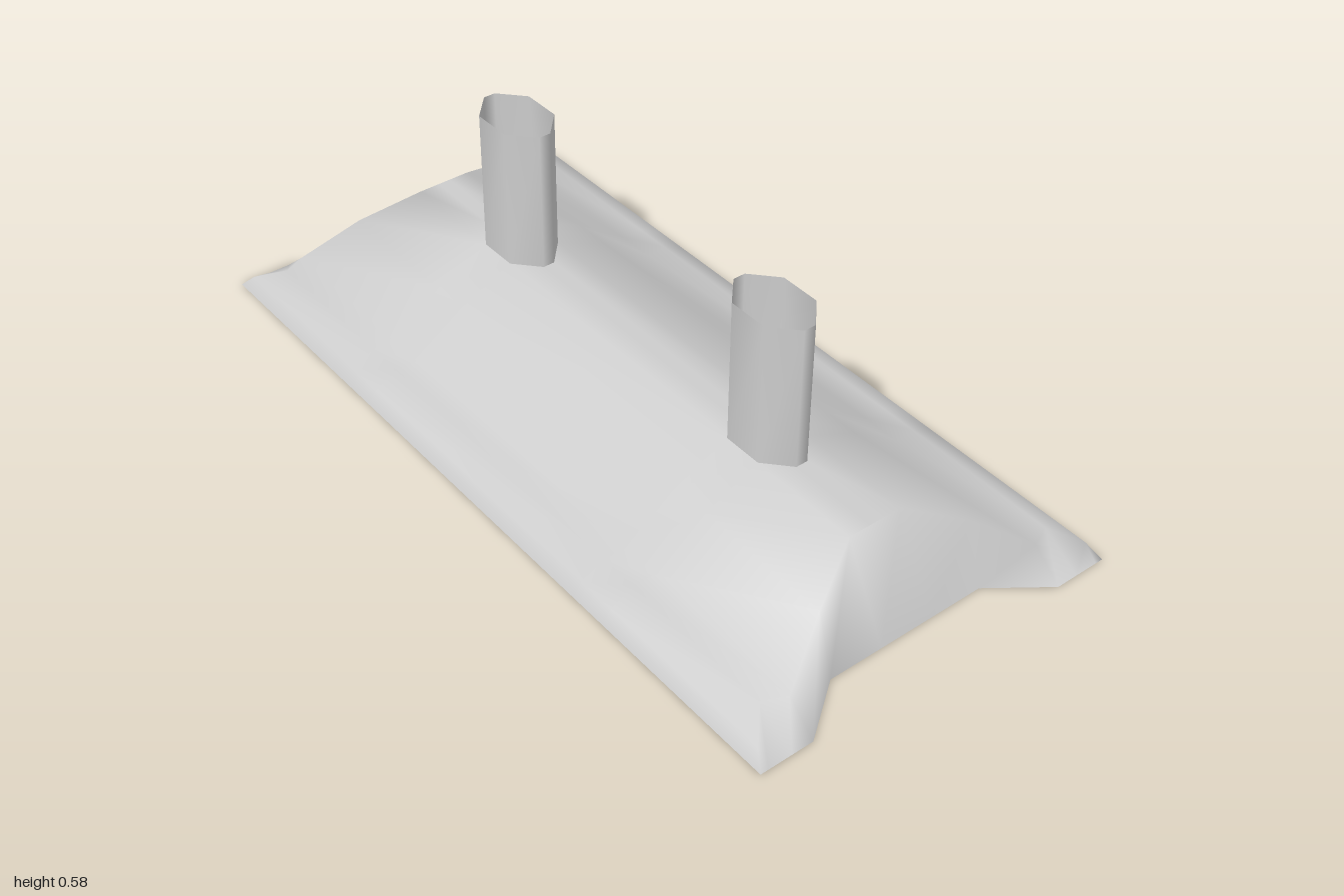
import * as THREE from 'three';
import { mergeVertices } from 'three/addons/utils/BufferGeometryUtils.js';

const RIDGE_Y = 0.225, RIDGE_Z = 0.07, RIDGE_X = 0.785, TUBE_TOP = 0.585, TUBE_X = 0.45;

// Half profile of the cover: height, depth, end of the upper edge, end of the foot
const half = [
  { y: 0, z: 0.48, x: 1, foot: 1 },
  { y: 0.035, z: 0.46, x: 0.965, foot: 1 },
  { y: 0.065, z: 0.4, x: 0.9, foot: 1 },
  { y: 0.065, z: 0.345, x: 0.925, foot: 1 },
  { y: 0.16, z: 0.21, x: 0.855, foot: 0.9 },
  { y: RIDGE_Y, z: RIDGE_Z, x: RIDGE_X, foot: 0.9 },
];
const profile = [...half, ...[...half].reverse().map((p) => ({ ...p, z: -p.z }))];

// Outline of a tube around its axis
const tubeRing = [
  [0.11, 0.015], [0.05, 0.07], [-0.05, 0.07], [-0.11, 0.015],
  [-0.11, -0.015], [-0.05, -0.07], [0.05, -0.07], [0.11, -0.015],
];

// Collects quads and triangles into one smooth surface
function surface(build) {
  const pos = [];
  const face = (a, b, c, d) => {
    pos.push(...a, ...b, ...c);
    if (d) pos.push(...a, ...c, ...d);
  };
  build(face);
  const raw = new THREE.BufferGeometry();
  raw.setAttribute('position', new THREE.Float32BufferAttribute(pos, 3));
  const geo = mergeVertices(raw, 1e-4);
  geo.computeVertexNormals();
  return geo;
}

function buildCover(face) {
  const ridgeRow = half.length - 1;
  const stations = (p) => [-p.x, -0.5, -0.4, 0.4, 0.5, p.x];

  // Long slopes, front and back
  for (let i = 0; i < profile.length - 1; i++) {
    if (i === ridgeRow) continue;
    const p = profile[i], q = profile[i + 1];
    const ps = stations(p), qs = stations(q);
    for (let j = 0; j < ps.length - 1; j++) {
      face([ps[j], p.y, p.z], [ps[j + 1], p.y, p.z], [qs[j + 1], q.y, q.z], [qs[j], q.y, q.z]);
    }
  }

  // Sloping ends, hollowed between the feet
  for (let i = 0; i < profile.length - 1; i++) {
    const p = profile[i], q = profile[i + 1];
    for (const s of [1, -1]) {
      const a = [s * p.foot, 0, p.z], b = [s * q.foot, 0, q.z];
      const c = [s * q.x, q.y, q.z], d = [s * p.x, p.y, p.z];
      if (s > 0) face(a, b, c, d);
      else face(d, c, b, a);
    }
  }

  // Flat ridge, cut around the two tube openings
  const r = (x, z) => [x, RIDGE_Y, z];
  const strip = (outer0, inner0, inner1, outer1) => {
    face(r(outer0, 0.07), r(outer1, 0.07), r(inner1, 0.015), r(inner0, 0.015));
    face(r(inner0, 0.015), r(inner1, 0.015), r(inner1, -0.015), r(inner0, -0.015));
    face(r(inner0, -0.015), r(inner1, -0.015), r(outer1, -0.07), r(outer0, -0.07));
  };
  strip(-RIDGE_X, -RIDGE_X, -0.56, -0.5);
  strip(-0.4, -0.34, 0.34, 0.4);
  strip(0.5, 0.56, RIDGE_X, RIDGE_X);
}

function buildTube(face) {
  tubeRing.forEach(([x0, z0], i) => {
    const [x1, z1] = tubeRing[(i + 1) % tubeRing.length];
    face([x1, RIDGE_Y, z1], [x0, RIDGE_Y, z0], [x0, TUBE_TOP, z0], [x1, TUBE_TOP, z1]);
  });
}

export function createModel() {
  const grey = new THREE.MeshStandardMaterial({ color: 0xcccccc, side: THREE.DoubleSide });
  grey.name = 'light grey';
  const model = new THREE.Group();
  model.name = 'ridgeCoverWithTubes';

  // Open shell
  const cover = new THREE.Mesh(surface(buildCover), grey);
  cover.name = 'cover';
  model.add(cover);

  // Open tubes standing on the ridge
  const tubeGeometry = surface(buildTube);
  for (const [name, s] of [['leftTube', 1], ['rightTube', -1]]) {
    const tube = new THREE.Mesh(tubeGeometry, grey);
    tube.name = name;
    tube.position.x = s * TUBE_X;
    model.add(tube);
  }
  return model;
}
